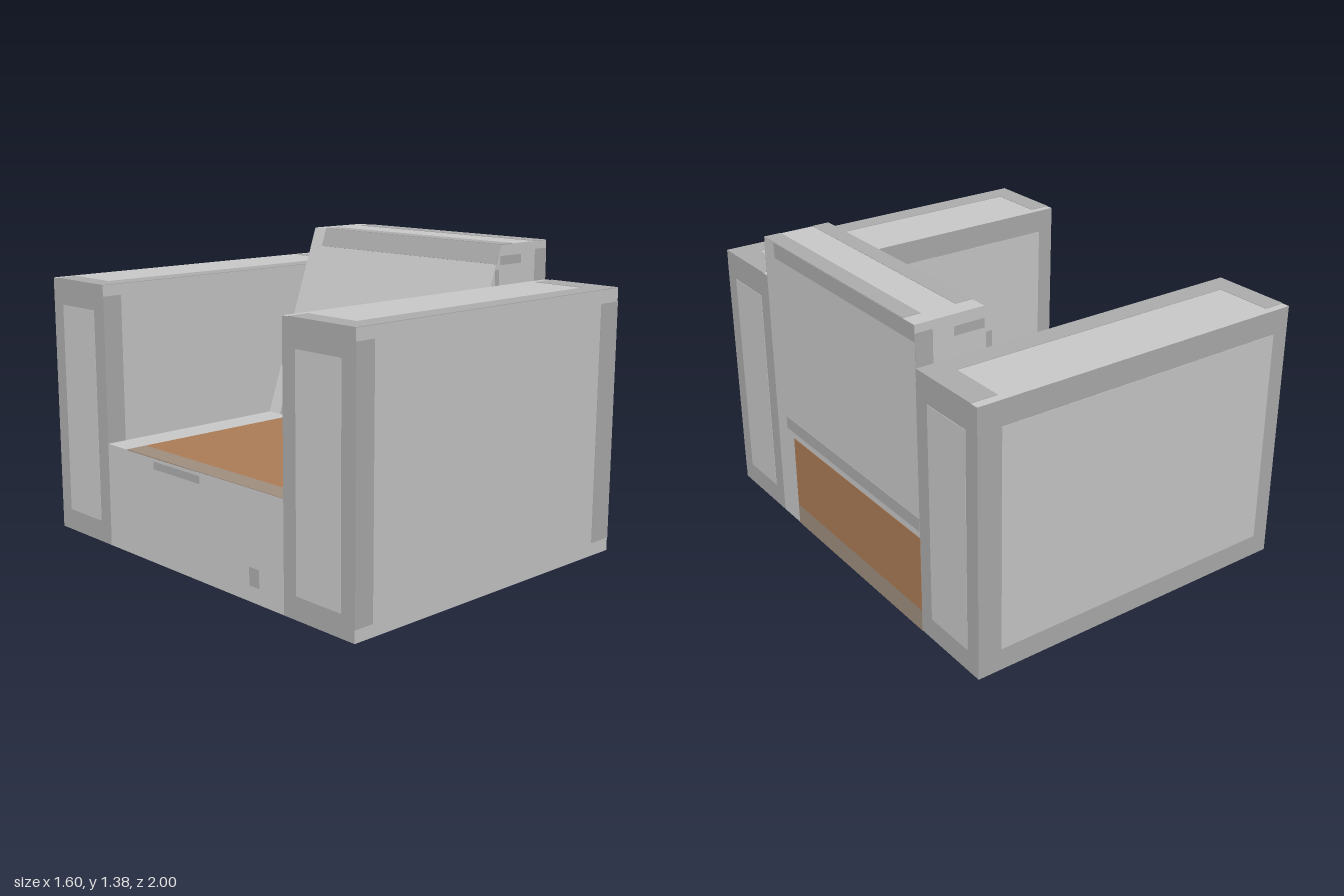
import * as THREE from 'three';

const mat = (name, color) => {
  const m = new THREE.MeshStandardMaterial({ color });
  m.name = name;
  return m;
};

export function createModel() {
  const light = mat('light grey', 0xc9c9c9);
  const dark = mat('mid grey', 0xadadad);
  const tan = mat('tan', 0xac7d57);
  const dullTan = mat('faded tan', 0xa08f80);
  const T = 0.002; // how far a painted plate stands proud

  // Box given by its limits on each axis
  const box = (parent, name, material, [x0, x1], [y0, y1], [z0, z1]) => {
    const mesh = new THREE.Mesh(new THREE.BoxGeometry(x1 - x0, y1 - y0, z1 - z0), material);
    mesh.position.set((x0 + x1) / 2, (y0 + y1) / 2, (z0 + z1) / 2);
    mesh.name = name;
    parent.add(mesh);
    return mesh;
  };
  const at = (v) => [v - T, v + T]; // thin range around a surface

  const chair = new THREE.Group();
  chair.name = 'armchair';

  // Two identical arms: worn panels and edge bands on every face
  for (const [name, z] of [['leftArm', -0.8], ['rightArm', 0.8]]) {
    const arm = new THREE.Group();
    arm.name = name;
    arm.position.z = z;
    box(arm, 'armBlock', [dark, dark, light, dark, light, dark], [-0.8, 0.8], [0, 1.2], [-0.2, 0.2]);
    for (const x of [-0.8, 0.8]) box(arm, 'endPanel', light, at(x), [0.1, 1.08], [-0.125, 0.125]);
    box(arm, 'sidePanel', light, [-0.72, 0.69], [0.1, 1.09], at(-0.2));
    box(arm, 'undersidePanel', light, [-0.68, 0.72], at(0), [-0.1, 0.08]);
    box(arm, 'sideEdgeBand', dark, [-0.8, -0.705], [0.055, 1.15], at(0.2));
    box(arm, 'sideEdgeBand', dark, [0.68, 0.8], [0.06, 1.14], at(0.2));
    box(arm, 'topEdgeBand', dark, [-0.8, 0.8], at(1.2), [0.1, 0.2]);
    box(arm, 'topEndBand', dark, [-0.8, -0.7], at(1.2), [-0.165, 0.2]);
    box(arm, 'topEndBand', dark, [0.68, 0.8], at(1.2), [-0.16, 0.2]);
    chair.add(arm);
  }

  // Seat block with its tan panels
  const S = 0.48;
  const seat = new THREE.Group();
  seat.name = 'seat';
  box(seat, 'seatBlock', light, [-0.8, 0.8], [0, S], [-0.6, 0.6]);
  box(seat, 'seatPanel', tan, [-0.7, 0.18], at(S), [-0.45, 0.6]);
  box(seat, 'seatPanelEdge', dullTan, [-0.8, -0.7], at(S), [-0.45, 0.6]);
  box(seat, 'rearPanel', tan, at(0.8), [0.1, 0.45], [-0.6, 0.45]);
  box(seat, 'rearPanelEdge', dullTan, at(0.8), [0, 0.1], [-0.6, 0.45]);
  box(seat, 'undersidePanel', tan, [-0.75, -0.5], at(0), [-0.6, 0.45]);
  box(seat, 'frontMark', dark, at(-0.8), [0.43, 0.465], [-0.25, 0.07]);
  box(seat, 'frontSpot', dark, at(-0.8), [0.07, 0.15], [0.39, 0.45]);
  chair.add(seat);

  // Backrest with a sloping front
  const back = new THREE.Group();
  back.name = 'backrest';
  const H = 1.38, foot = 0.165, head = 0.48;
  const profile = new THREE.Shape([[foot, S], [0.8, S], [0.8, H], [head, H]].map((p) => new THREE.Vector2(...p)));
  const block = new THREE.Mesh(new THREE.ExtrudeGeometry(profile, { depth: 1.2, bevelEnabled: false }), light);
  block.position.z = -0.6;
  block.name = 'backrestBlock';
  back.add(block);
  box(back, 'rearTopBand', dark, at(0.8), [1.31, H], [-0.6, 0.51]);
  box(back, 'rearLowBand', dark, at(0.8), [S, 0.54], [-0.6, 0.51]);
  box(back, 'topRearBand', dark, [0.72, 0.8], at(H), [-0.52, 0.6]);
  box(back, 'topFrontBand', dark, [head, 0.56], at(H), [-0.52, 0.6]);

  // Bands lying on the slope
  const slope = new THREE.Group();
  slope.name = 'slopeBands';
  slope.position.set(foot, S, 0);
  slope.rotation.z = -Math.atan2(head - foot, H - S);
  const L = Math.hypot(head - foot, H - S);
  box(slope, 'slopeTopBand', dark, at(0), [L - 0.09, L], [-0.52, 0.6]);
  box(slope, 'slopeLowBand', dark, at(0), [0, 0.06], [-0.52, 0.6]);
  back.add(slope);

  // Marks on the exposed ends of the backrest
  for (const z of [-0.6, 0.6]) {
    box(back, 'endRearBand', dark, [0.72, 0.8], [1.2, 1.345], at(z));
    box(back, 'endFrontMark', dark, [0.445, 0.47], [1.2, 1.27], at(z));
    box(back, 'endMark', dark, [0.48, 0.62], [1.29, 1.33], at(z));
  }
  chair.add(back);

  return chair;
}
